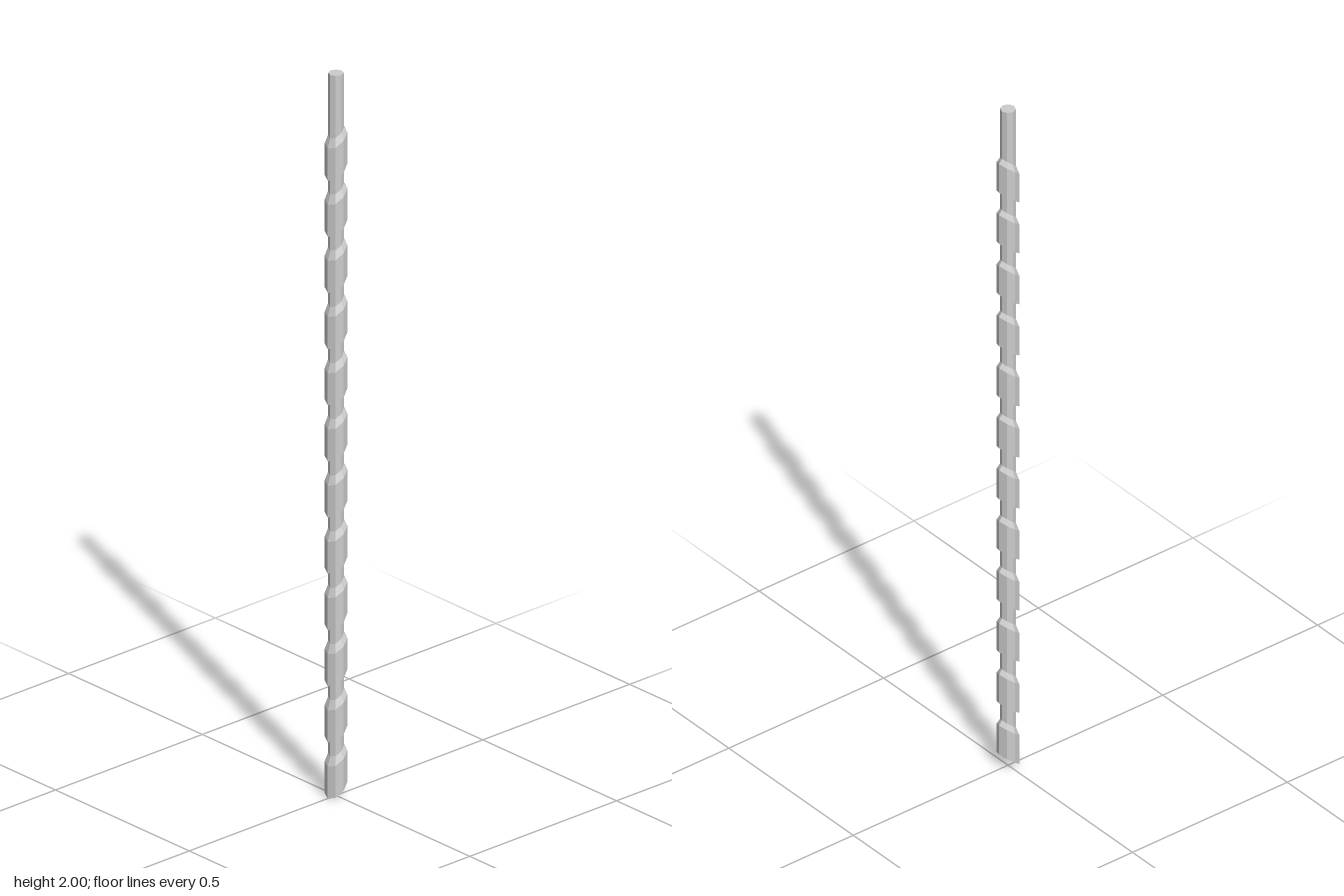
import * as THREE from 'three';

const SIDES = 8;
const ROD_R = 0.02;
const SLEEVE_R = 0.0285;
const SLOPE = 0.78; // slant of the sleeve ends, low at the front
const COUNT = 12;
const PITCH = 0.1555;

// Eight-sided sleeve with a chamfered top, sheared so both ends are cut obliquely
function sleeveGeometry() {
  const profile = [
    [0, 0], [SLEEVE_R, 0], [SLEEVE_R, 0.088], [ROD_R, 0.107], [0, 0.107],
  ].map(([r, y]) => new THREE.Vector2(r, y));
  const geo = new THREE.LatheGeometry(profile, SIDES);
  const pos = geo.attributes.position;
  for (let i = 0; i < pos.count; i++) {
    pos.setY(i, pos.getY(i) - SLOPE * pos.getZ(i));
  }
  geo.computeVertexNormals();
  return geo;
}

export function createModel() {
  const model = new THREE.Group();
  model.name = 'segmentedRod';
  const material = new THREE.MeshStandardMaterial({ color: 0xcccccc, flatShading: true });

  // Thin core rod, bare at the top
  const bottom = 0.04;
  const rod = new THREE.Mesh(
    new THREE.CylinderGeometry(ROD_R, ROD_R, 2 - bottom, SIDES), material);
  rod.position.y = (2 + bottom) / 2;
  rod.name = 'rod';
  model.add(rod);

  // Evenly stacked sleeves
  const geo = sleeveGeometry();
  for (let i = 0; i < COUNT; i++) {
    const sleeve = new THREE.Mesh(geo, material);
    sleeve.position.y = SLEEVE_R * SLOPE + i * PITCH;
    sleeve.name = `sleeve${i + 1}`;
    model.add(sleeve);
  }
  return model;
}
